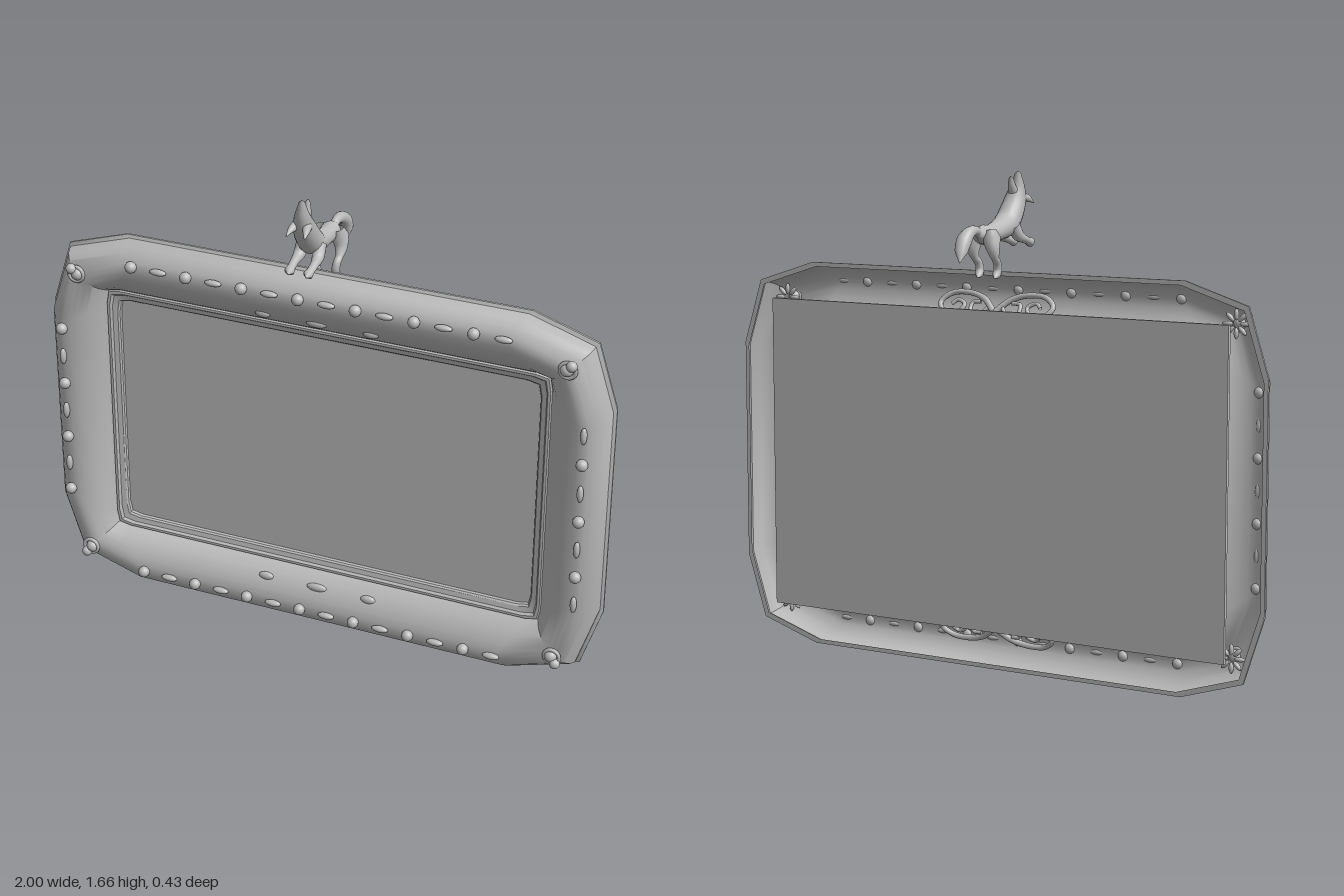
import * as THREE from 'three';
import { toCreasedNormals } from 'three/addons/utils/BufferGeometryUtils.js';

const MID = 0.67; // height of the frame centre
const grey = new THREE.MeshStandardMaterial({ color: 0xbababa, side: THREE.DoubleSide });
grey.name = 'stoneGrey';

function part(parent, name, geometry, x = 0, y = 0, z = 0) {
  const mesh = new THREE.Mesh(geometry, grey);
  mesh.name = name;
  mesh.position.set(x, y, z);
  parent.add(mesh);
  return mesh;
}

function group(parent, name) {
  const g = new THREE.Group();
  g.name = name;
  parent.add(g);
  return g;
}

// Twelve-sided ring, counterclockwise; the corner cut shrinks from c = 1 (outer) to c = 0 (opening)
function ring(X, Y, z, c) {
  const cut = 0.05 + 0.24 * c, nip = 0.008 + 0.062 * c;
  const q = [[X, Y - cut], [X - nip, Y - nip], [X - cut, Y]];
  const mirror = (sx, sy) => q.map(([x, y]) => [x * sx, y * sy]);
  return [...q, ...mirror(-1, 1).reverse(), ...mirror(-1, -1), ...mirror(1, -1).reverse()]
    .map(([x, y]) => [x, y + MID, z]);
}

// Thin moulded shell running from the back rim over the ridge and down to the opening
function frameGeometry() {
  const rings = [
    [0.985, 0.655, -0.02, 1], [1, 0.67, -0.02, 1], [1, 0.67, -0.012, 1], [0.99, 0.66, -0.006, 1],
    [0.99, 0.66, 0.01, 1], [0.982, 0.652, 0.035, 1], [0.965, 0.637, 0.058, 0.98],
    [0.94, 0.614, 0.075, 0.95], [0.925, 0.6, 0.08, 0.92],
  ];
  for (const [t, z] of [[0.2, 0.079], [0.4, 0.072], [0.6, 0.059], [0.78, 0.041], [0.92, 0.02], [1, 0.004]])
    rings.push([0.925 - 0.135 * t, 0.6 - 0.135 * t, z, 0.92 * (1 - t)]);
  rings.push([0.787, 0.462, 0.011, 0], [0.778, 0.453, 0.011, 0], [0.772, 0.447, 0.002, 0],
    [0.755, 0.43, -0.002, 0], [0.75, 0.425, -0.008, 0], [0.75, 0.425, -0.022, 0]);
  const loops = rings.map((r) => ring(...r));
  const pos = [];
  for (let k = 0; k + 1 < loops.length; k++) {
    for (let j = 0; j < 12; j++) {
      const n = (j + 1) % 12;
      const a = loops[k][j], b = loops[k][n], c = loops[k + 1][n], d = loops[k + 1][j];
      pos.push(...a, ...b, ...c, ...a, ...c, ...d);
    }
  }
  const geo = new THREE.BufferGeometry();
  geo.setAttribute('position', new THREE.Float32BufferAttribute(pos, 3));
  return toCreasedNormals(geo, 0.55);
}

// Rounded limb along stations [x, y, z, radius]
function limb(stations, segments = 28, sides = 16) {
  const curve = new THREE.CatmullRomCurve3(stations.map((s) => new THREE.Vector3(s[0], s[1], s[2])));
  const geo = new THREE.TubeGeometry(curve, segments, 1, sides);
  const p = geo.attributes.position, v = new THREE.Vector3(), last = stations.length - 1;
  for (let i = 0; i <= segments; i++) {
    const centre = curve.getPointAt(i / segments);
    const f = curve.getUtoTmapping(i / segments) * last;
    const k = Math.min(Math.floor(f), last - 1);
    const r = THREE.MathUtils.lerp(stations[k][3], stations[k + 1][3], f - k);
    for (let j = 0; j <= sides; j++) {
      const n = i * (sides + 1) + j;
      v.fromBufferAttribute(p, n).sub(centre).multiplyScalar(r).add(centre);
      p.setXYZ(n, v.x, v.y, v.z);
    }
  }
  geo.computeBoundingSphere();
  return geo;
}

// Alternating round and spindle beads along the ridge
function addBeads(root) {
  const beads = group(root, 'beadTrim');
  const ball = new THREE.SphereGeometry(0.02, 16, 12);
  const spindle = new THREE.SphereGeometry(1, 16, 12).scale(0.03, 0.011, 0.013);
  const bead = (round, x, y, upright) => {
    const m = part(beads, round ? 'roundBead' : 'spindleBead', round ? ball : spindle, x, y, 0.088);
    if (upright && !round) m.rotation.z = Math.PI / 2;
  };
  for (let i = 0; i < 14; i++)
    for (const y of [0.08, 1.273]) bead(i % 2 === 0, -0.65 + i * 0.1, y, false);
  for (let i = 0; i < 7; i++) {
    bead(i % 2 === 0, -0.925, 0.36 + i * 0.105, true);
    bead(i % 2 === 1, 0.925, 0.36 + i * 0.105, true);
  }
}

// Knob and ring at each corner, with a petal rosette inside the shell
function addCorners(root) {
  for (const sx of [-1, 1]) for (const sy of [-1, 1]) {
    const g = group(root, 'cornerRosette');
    g.position.set(sx * 0.86, MID + sy * 0.537, 0.072);
    part(g, 'ring', new THREE.TorusGeometry(0.026, 0.007, 8, 20), 0, 0, 0.01);
    part(g, 'boss', new THREE.SphereGeometry(0.022, 16, 12), -sx * 0.004, 0, 0.008);
    part(g, 'knob', new THREE.SphereGeometry(0.018, 16, 12), sx * 0.014, sy * 0.02, 0.018);
    for (let i = 0; i < 8; i++) {
      const a = (i * Math.PI) / 4;
      const petal = part(g, 'petal', new THREE.SphereGeometry(1, 10, 8).scale(0.019, 0.008, 0.008),
        Math.cos(a) * 0.03, Math.sin(a) * 0.03, -0.03);
      petal.rotation.z = a;
    }
  }
}

// Mirrored scrolls behind the cove, with small leaf tips coming through it
function addScrolls(root) {
  for (const sy of [-1, 1]) {
    const g = group(root, 'scrollOrnament');
    g.position.set(0, MID + sy * 0.555, 0.02);
    g.rotation.x = sy * 0.55;
    for (const sx of [-1, 1]) {
      const pts = [[0, -0.03], [0.05, 0.02], [0.11, 0.04], [0.18, 0.035], [0.215, 0], [0.19, -0.035],
        [0.14, -0.035], [0.12, -0.005], [0.15, 0.012], [0.17, -0.005]];
      part(g, 'scroll', limb(pts.map(([x, y], i) => [sx * x, sy * y, 0, 0.011 - 0.0005 * i]), 56, 8));
      const inner = [[0.02, 0], [0.05, -0.035], [0.09, -0.03], [0.09, 0.005], [0.06, 0.008]];
      part(g, 'curl', limb(inner.map(([x, y]) => [sx * x, sy * y, 0, 0.007]), 28, 8));
    }
    for (const [x, w] of [[-0.19, 0.028], [0, 0.038], [0.19, 0.028]])
      part(root, 'leafTip', new THREE.SphereGeometry(1, 14, 10).scale(w, 0.015, 0.012), x, MID + sy * 0.51, 0.05);
  }
}

// Leaping wolf with its head thrown back
function addWolf(root) {
  const w = group(root, 'wolf');
  part(w, 'bodyAndHead', limb([
    [0, 1.465, -0.105, 0.001], [0, 1.463, -0.09, 0.024], [0, 1.461, -0.065, 0.033], [0, 1.462, -0.02, 0.03],
    [0, 1.472, 0.035, 0.035], [0, 1.49, 0.085, 0.043], [0, 1.53, 0.122, 0.041], [0, 1.57, 0.146, 0.036],
    [0, 1.605, 0.158, 0.026], [0, 1.64, 0.161, 0.014], [0, 1.655, 0.161, 0.009], [0, 1.66, 0.161, 0.001],
  ], 56, 20));
  part(w, 'lowerJaw', limb([[0, 1.575, 0.14, 0.02], [0, 1.61, 0.122, 0.014], [0, 1.635, 0.115, 0.008], [0, 1.645, 0.112, 0.001]]));
  part(w, 'tail', limb([
    [0, 1.465, -0.085, 0.014], [0, 1.478, -0.115, 0.015], [0, 1.472, -0.15, 0.02], [0, 1.448, -0.182, 0.026],
    [0, 1.415, -0.2, 0.022], [0, 1.378, -0.21, 0.001],
  ]));
  for (const s of [-1, 1]) {
    part(w, 'ear', limb([[s * 0.018, 1.575, 0.16, 0.016], [s * 0.025, 1.568, 0.185, 0.012], [s * 0.031, 1.553, 0.214, 0.001]]));
    part(w, 'foreleg', limb([
      [s * 0.026, 1.485, 0.085, 0.024], [s * 0.032, 1.45, 0.11, 0.02], [s * 0.034, 1.438, 0.14, 0.014],
      [s * 0.033, 1.427, 0.175, 0.013], [s * 0.032, 1.423, 0.188, 0.017], [s * 0.031, 1.418, 0.203, 0.001],
    ]));
    part(w, 'hindLeg', limb([
      [s * 0.026, 1.475, -0.06, 0.02], [s * 0.032, 1.45, -0.064, 0.031], [s * 0.038, 1.415, -0.064, 0.022],
      [s * 0.038, 1.385, -0.05, 0.013], [s * 0.036, 1.367, -0.033, 0.013], [s * 0.034, 1.345, -0.028, 0.014],
      [s * 0.033, 1.328, -0.036, 0.014], [s * 0.032, 1.318, -0.048, 0.001],
    ]));
  }
}

export function createModel() {
  const root = new THREE.Group();
  root.name = 'ornateFrame';
  part(root, 'frame', frameGeometry());
  part(root, 'backPanel', new THREE.BoxGeometry(1.74, 1.08, 0.014), 0, MID, -0.028);
  addBeads(root);
  addCorners(root);
  addScrolls(root);
  addWolf(root);
  return root;
}
